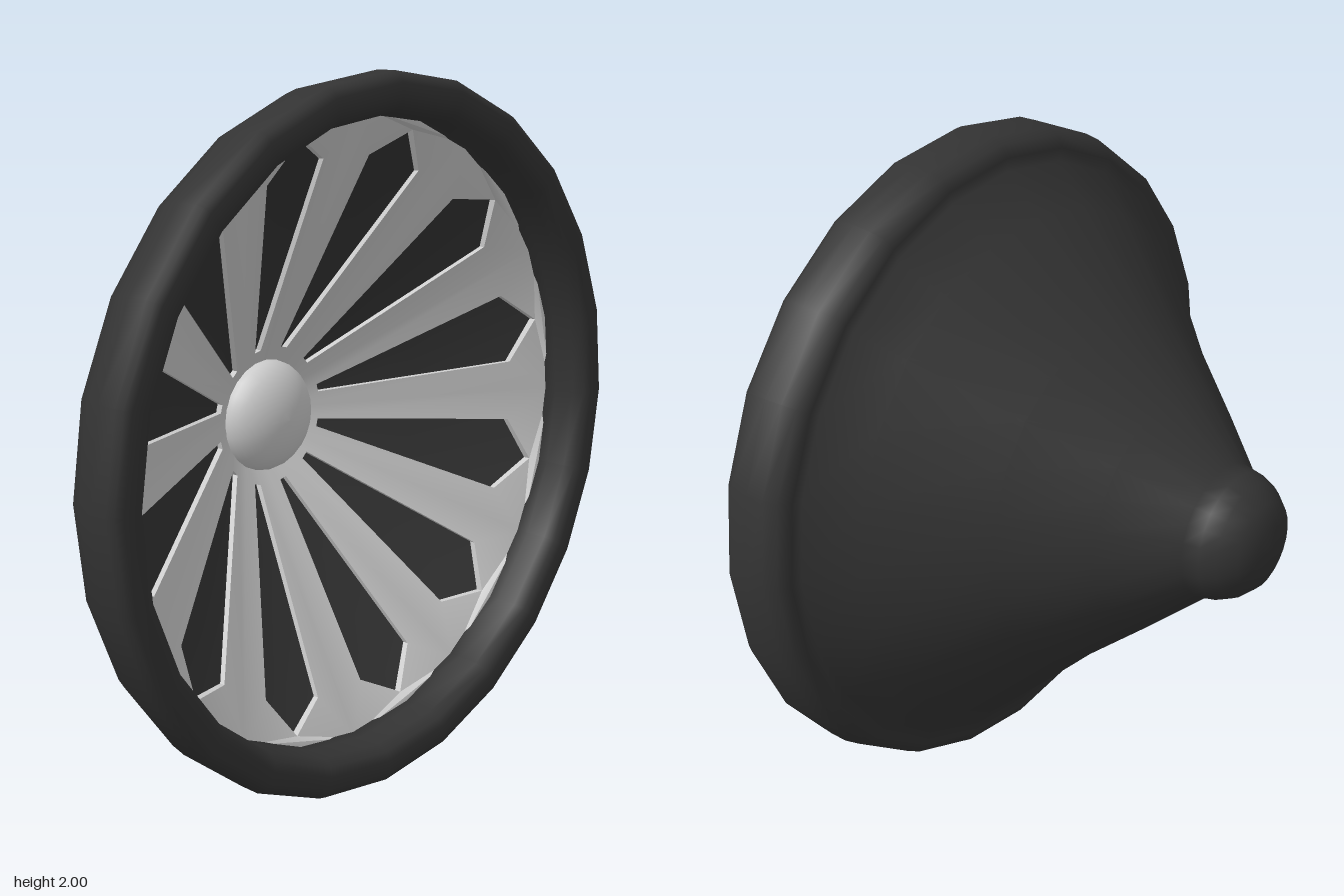
import * as THREE from 'three';
import { mergeGeometries, toCreasedNormals } from 'three/addons/utils/BufferGeometryUtils.js';

const SIDES = 24, PETALS = 12;
const dark = new THREE.MeshStandardMaterial({ color: 0x333333 });
const silver = new THREE.MeshStandardMaterial({ color: 0xcccccc });

// Front surface height of the shallow grille cone at radius r
const coneZ = (r) => 0.06 + (r - 0.16) * 0.5;

// Lathe whose axis points along z; profile points are [radius, z]
function latheZ(name, points, material) {
  const geo = new THREE.LatheGeometry(points.map(([r, z]) => new THREE.Vector2(r, z)), SIDES);
  geo.rotateX(Math.PI / 2);
  const mesh = new THREE.Mesh(geo, material);
  mesh.name = name;
  return mesh;
}

// One 30 degree wedge of the grille, pointing along +x, with a petal opening
function grilleSector() {
  const polar = (r, a) => new THREE.Vector2(r * Math.cos(a), r * Math.sin(a));
  const h = Math.PI / PETALS;
  const shape = new THREE.Shape([
    polar(0.14, -h), polar(0.9, -h), polar(0.9, 0), polar(0.9, h), polar(0.14, h), polar(0.14, 0),
  ]);
  const petal = [[0.205, -0.012], [0.205, 0.012], [0.765, 0.11], [0.86, 0], [0.765, -0.11]];
  shape.holes.push(new THREE.Path(petal.map(([x, y]) => new THREE.Vector2(x, y))));
  const geo = new THREE.ExtrudeGeometry(shape, { depth: 0.02, bevelEnabled: false });
  // Bend the flat plate onto the cone
  const p = geo.attributes.position;
  for (let i = 0; i < p.count; i++) {
    p.setZ(i, p.getZ(i) - 0.02 + coneZ(Math.hypot(p.getX(i), p.getY(i))));
  }
  return geo;
}

export function createModel() {
  const model = new THREE.Group();
  model.name = 'wheel';
  const body = new THREE.Group();
  body.name = 'wheelBody';
  body.position.y = 1;
  model.add(body);

  // Dark cone with rear knob, rounded rim and the backing behind the grille
  body.add(latheZ('shell', [
    [0, -0.56], [0.07, -0.557], [0.13, -0.53], [0.17, -0.485], [0.19, -0.44], [0.2, -0.39],
    [0.36, -0.21], [0.54, 0], [0.79, 0.25], [0.9, 0.365],
    [0.94, 0.36], [0.975, 0.38], [0.99, 0.42], [1, 0.47], [1, 0.53], [0.99, 0.55], [0.97, 0.56],
    [0.93, 0.56], [0.905, 0.55], [0.89, 0.52], [0.885, 0.46], [0.885, coneZ(0.885) - 0.02],
    [0.5, coneZ(0.5) - 0.02], [0.1, coneZ(0.1) - 0.02], [0, coneZ(0.1) - 0.02],
  ], dark));

  // Spoked grille: twelve wedges merged, with soft shading across the spokes
  const sectors = [];
  for (let i = 0; i < PETALS; i++) {
    sectors.push(grilleSector().rotateZ(((i + 0.5) * 2 * Math.PI) / PETALS));
  }
  const grille = new THREE.Mesh(toCreasedNormals(mergeGeometries(sectors), 0.6), silver);
  grille.name = 'grille';
  body.add(grille);

  // Domed centre cap
  const dome = [[0.165, 0.03]];
  for (let i = 0; i <= 8; i++) {
    const a = (i / 8) * Math.PI / 2;
    dome.push([0.165 * Math.cos(a), 0.06 + 0.1 * Math.sin(a)]);
  }
  body.add(latheZ('centreCap', dome, silver));

  return model;
}
